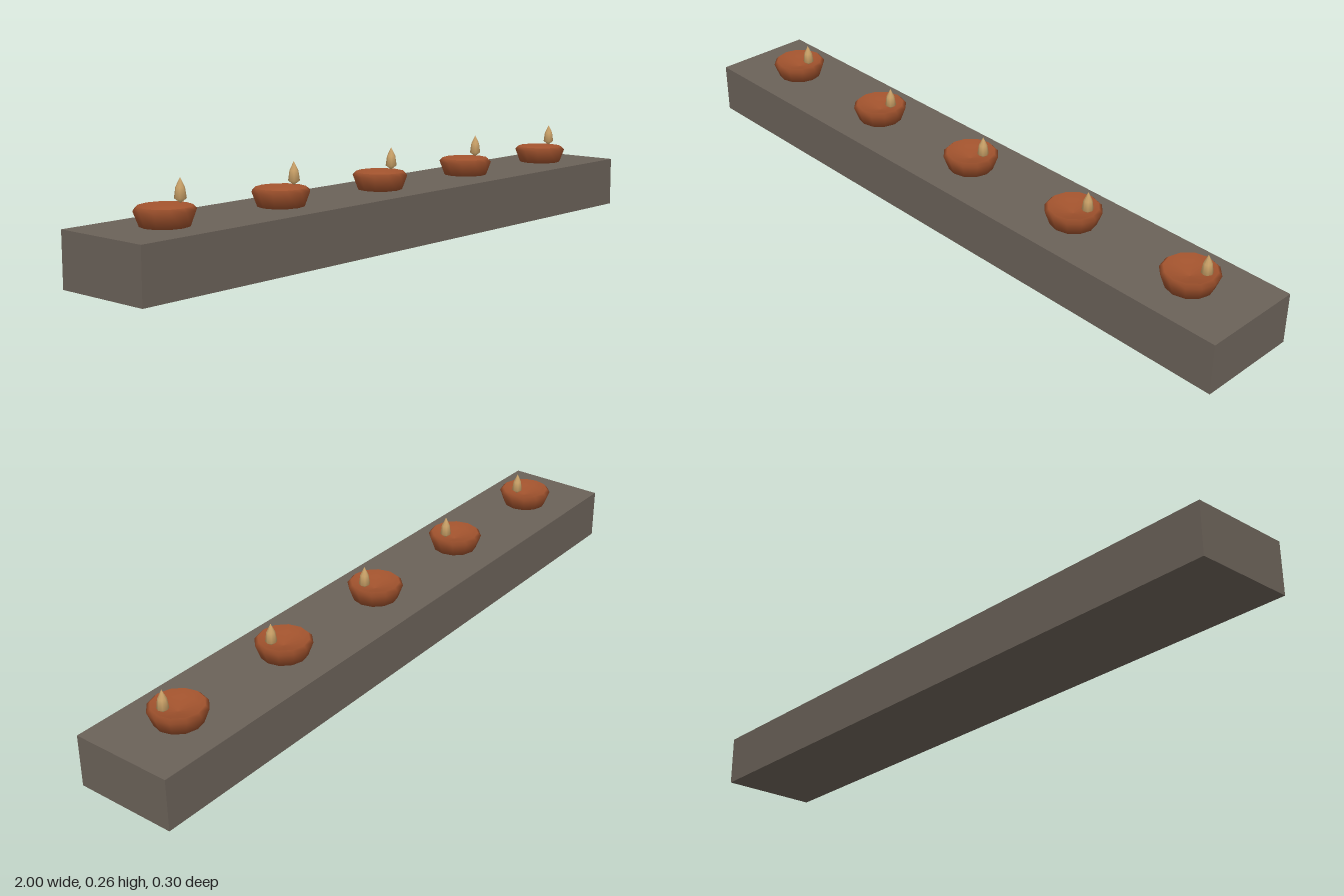
import * as THREE from 'three';

function material(name, color) {
  const m = new THREE.MeshStandardMaterial({ color });
  m.name = name;
  return m;
}

// Turned shape from [radius, height] pairs, listed bottom to top on the outside
function turned(points, sides) {
  return new THREE.LatheGeometry(points.map(([r, y]) => new THREE.Vector2(r, y)), sides);
}

export function createModel() {
  const model = new THREE.Group();
  model.name = 'lampShelf';
  const stone = material('stone', 0x6b6259);
  const clay = material('clay', 0xa0522d);
  const flameColor = material('flame', 0xcba268);

  function add(name, geometry, mat, x, y, parent) {
    const mesh = new THREE.Mesh(geometry, mat);
    mesh.name = name;
    mesh.position.set(x, y, 0);
    parent.add(mesh);
  }

  // Stone ledge
  add('ledge', new THREE.BoxGeometry(2, 0.15, 0.3), stone, 0, 0.075, model);

  // Clay bowl: foot, flared wall, rim, then the shallow hollow
  const bowl = turned([
    [0, 0], [0.065, 0], [0.08, 0.04], [0.07, 0.05], [0.055, 0.035], [0, 0.025],
  ], 12);

  // Teardrop flame
  const flame = turned([[0, 0], [0.016, 0.012], [0.012, 0.04], [0, 0.065]], 8);

  // Row of five lamps, each flame near the +x rim
  for (let i = -2; i <= 2; i++) {
    const lamp = new THREE.Group();
    lamp.name = 'oilLamp';
    lamp.position.set(i * 0.4, 0.15, 0);
    add('bowl', bowl, clay, 0, 0, lamp);
    add('flame', flame, flameColor, 0.05, 0.05, lamp);
    model.add(lamp);
  }
  return model;
}
